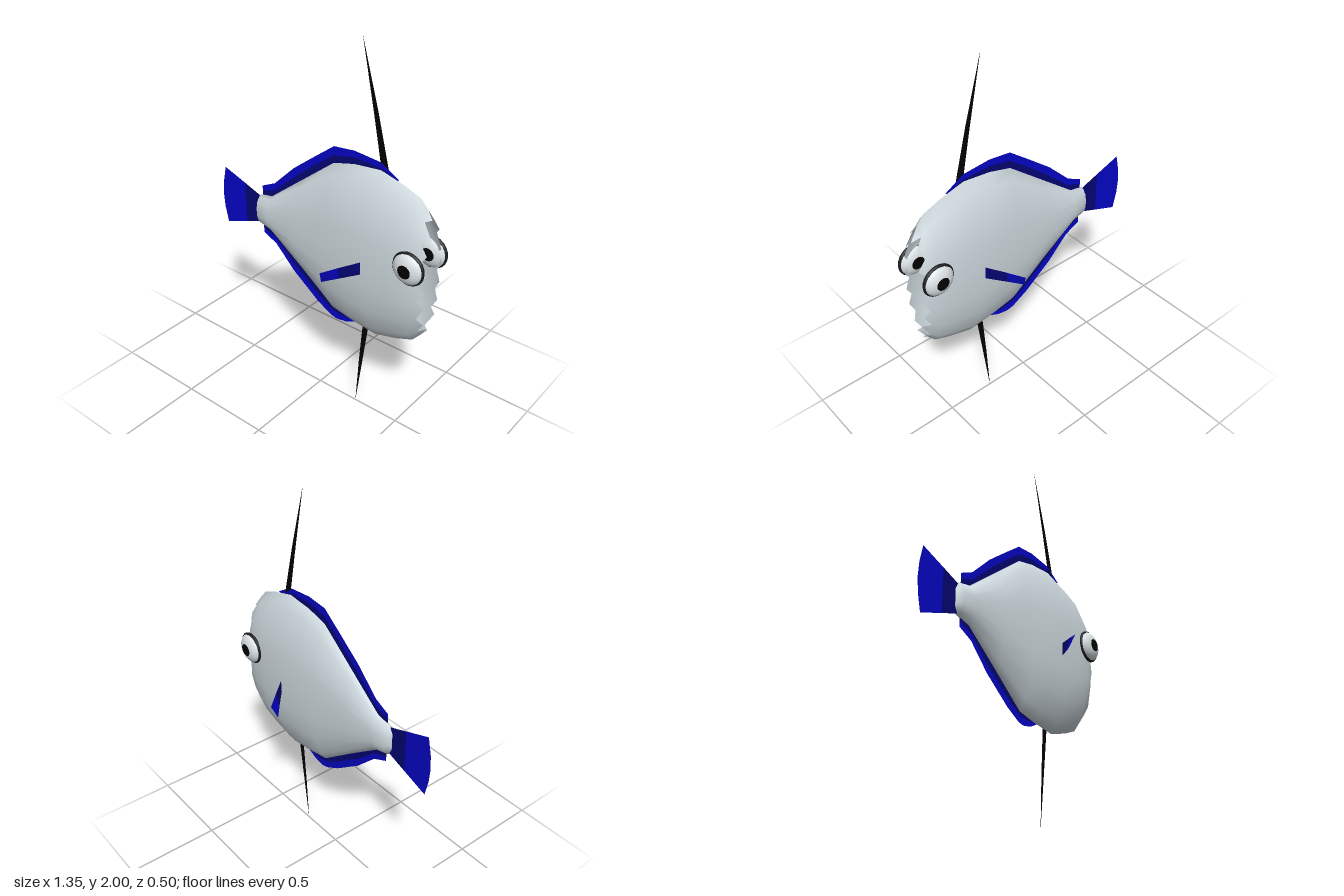
import * as THREE from 'three';

const mat = (name, color) => {
  const m = new THREE.MeshStandardMaterial({ color, side: THREE.DoubleSide });
  m.name = name;
  return m;
};

function named(name, geometry, material) {
  const mesh = new THREE.Mesh(geometry, material);
  mesh.name = name;
  return mesh;
}

function indexed(points, index) {
  const g = new THREE.BufferGeometry();
  g.setAttribute('position', new THREE.Float32BufferAttribute(points.flat(), 3));
  g.setIndex(index);
  g.computeVertexNormals();
  return g;
}

// Flat outline in the x-y plane
function plate(points) {
  return new THREE.ShapeGeometry(new THREE.Shape(points.map(p => new THREE.Vector2(...p))));
}

// Flat band between two edge lines
const band = (edgeA, edgeB) => plate([...edgeA, ...[...edgeB].reverse()]);

// Half of the cross-section, from crest to belly: [width, height] factors
const half = [[0, 1], [0.4, 0.87], [0.82, 0.6], [0.97, 0.3], [1, 0], [0.97, -0.3], [0.82, -0.6], [0.4, -0.87], [0, -1]];
const section = [...half, ...half.slice(1, -1).reverse().map(([w, h]) => [-w, h])];
const N = section.length;

// Body stations: x, top, bottom, half width
const stations = [
  [-0.42, 0.99, 0.9, 0.008], [-0.4, 1.03, 0.86, 0.036], [-0.32, 1.045, 0.84, 0.045],
  [-0.12, 1.2, 0.69, 0.063], [0.08, 1.355, 0.535, 0.082], [0.2, 1.385, 0.51, 0.094],
  [0.35, 1.4, 0.49, 0.102], [0.48, 1.365, 0.525, 0.1], [0.57, 1.33, 0.56, 0.094], [0.61, 1.285, 0.605, 0.08],
];

function bodyGeometry() {
  const pts = [], idx = [];
  stations.forEach(([x, top, bottom, w], k) => {
    const cy = (top + bottom) / 2, h = (top - bottom) / 2;
    const last = k === stations.length - 1;
    for (const [sw, sh] of section) pts.push([x + (last ? 0.02 * (1 - sh * sh) : 0), cy + h * sh, w * sw]);
  });
  for (let k = 0; k < stations.length - 1; k++) {
    for (let i = 0; i < N; i++) {
      const a = k * N + i, b = k * N + (i + 1) % N, c = a + N, d = b + N;
      idx.push(a, b, c, b, d, c);
    }
  }
  // Closed tail end
  const tail = pts.push([-0.42, 0.945, 0]) - 1;
  for (let i = 0; i < N; i++) idx.push(tail, (i + 1) % N, i);
  // Jagged teeth around the open mouth, alternately long and short
  const rim = (stations.length - 1) * N;
  for (let i = 0; i < N; i++) {
    const a = pts[rim + i], b = pts[rim + (i + 1) % N];
    const s = i % 2 ? 0.86 : 0.96;
    const tip = pts.push([
      Math.min((a[0] + b[0]) / 2 + (i % 2 ? 0.045 : 0.03), 0.66),
      0.945 + ((a[1] + b[1]) / 2 - 0.945) * s,
      (a[2] + b[2]) / 2 * (s - 0.1),
    ]) - 1;
    idx.push(rim + i, rim + (i + 1) % N, tip);
  }
  return indexed(pts, idx);
}

// Fin lines: free edge, colour boundary, root hidden in the body
const dorsal = [
  [[-0.385, 1.085], [-0.3, 1.125], [-0.17, 1.25], [-0.04, 1.35], [0.08, 1.44], [0.2, 1.452], [0.35, 1.438], [0.45, 1.38]],
  [[-0.385, 1.055], [-0.3, 1.085], [-0.17, 1.2], [-0.04, 1.305], [0.08, 1.395], [0.2, 1.418], [0.35, 1.41], [0.44, 1.375]],
  [[-0.385, 1.0], [-0.3, 1.0], [0.08, 1.3], [0.35, 1.34], [0.43, 1.35]],
];
const anal = [
  [[-0.385, 0.81], [-0.3, 0.77], [-0.18, 0.65], [-0.02, 0.53], [0.07, 0.48], [0.11, 0.472], [0.17, 0.482], [0.25, 0.52]],
  [[-0.385, 0.835], [-0.3, 0.805], [-0.18, 0.695], [-0.02, 0.575], [0.07, 0.518], [0.15, 0.505], [0.24, 0.523]],
  [[-0.385, 0.88], [-0.3, 0.9], [0.08, 0.58], [0.23, 0.58]],
];
const tailFin = [
  [[-0.65, 1.11], [-0.67, 1.02], [-0.676, 0.945], [-0.67, 0.87], [-0.65, 0.78]],
  [[-0.51, 1.06], [-0.51, 0.83]],
  [[-0.4, 1.02], [-0.4, 0.87]],
];

export function createModel() {
  const model = new THREE.Group();
  model.name = 'fish';
  const skin = mat('pale grey skin', 0xd0dbe0);
  const blue = mat('blue fin', 0x0505c8);
  const navy = mat('dark blue fin root', 0x040474);
  const black = mat('black', 0x020202);
  const rimGrey = mat('dark eye rim', 0x1a1c1d);
  const white = mat('eye white', 0xdde4e7);

  model.add(named('body', bodyGeometry(), skin));

  // Fins along the back, belly and tail
  for (const [name, [edge, middle, root]] of Object.entries({ dorsalFin: dorsal, analFin: anal, tailFin })) {
    const fin = new THREE.Group();
    fin.name = name;
    fin.add(named('finEdge', band(edge, middle), blue), named('finRoot', band(middle, root), navy));
    model.add(fin);
  }

  // Long thin spines
  model.add(named('upperSpine', plate([[0.355, 1.39], [0.305, 1.64], [0.23, 1.995], [0.325, 1.67], [0.395, 1.4]]), black));
  model.add(named('lowerSpine', plate([[0.275, 0.51], [0.257, 0.27], [0.242, 0], [0.278, 0.27], [0.308, 0.5]]), black));

  for (const s of [1, -1]) {
    const side = s > 0 ? 'front' : 'back';
    // Side fin, slightly bowed, darker towards the root
    const fin = [
      [0.325, 0.95, 0.095], [0.325, 0.882, 0.095], [0.247, 0.862, 0.167],
      [0.255, 0.932, 0.183], [0.185, 0.845, 0.222], [0.2, 0.915, 0.252],
    ].map(([x, y, z]) => [x, y, z * s]);
    const finGeometry = indexed(fin, [0, 3, 1, 1, 3, 2, 3, 5, 2, 2, 5, 4]);
    finGeometry.addGroup(0, 6, 0);
    finGeometry.addGroup(6, 6, 1);
    model.add(named(side + 'SideFin', finGeometry, [navy, blue]));

    // Eye: pale lens with a dark rim and a thin pupil cap on both faces
    const eye = new THREE.Group();
    eye.name = side + 'Eye';
    eye.position.set(0.586, 1.02, 0.097 * s);
    const rim = named('eyeRim', new THREE.SphereGeometry(1, 20, 12), rimGrey);
    rim.scale.set(0.086, 0.086, 0.024);
    const lens = named('eyeball', new THREE.SphereGeometry(1, 20, 14), white);
    lens.scale.set(0.08, 0.08, 0.041);
    eye.add(rim, lens);
    for (const face of [1, -1]) {
      const cap = new THREE.SphereGeometry(1, 16, 4, 0, Math.PI * 2, 0, 0.43).rotateX(face * Math.PI / 2);
      const pupil = named('pupil', cap, black);
      pupil.scale.set(0.081, 0.081, 0.0425);
      eye.add(pupil);
    }
    model.add(eye);
  }
  return model;
}
